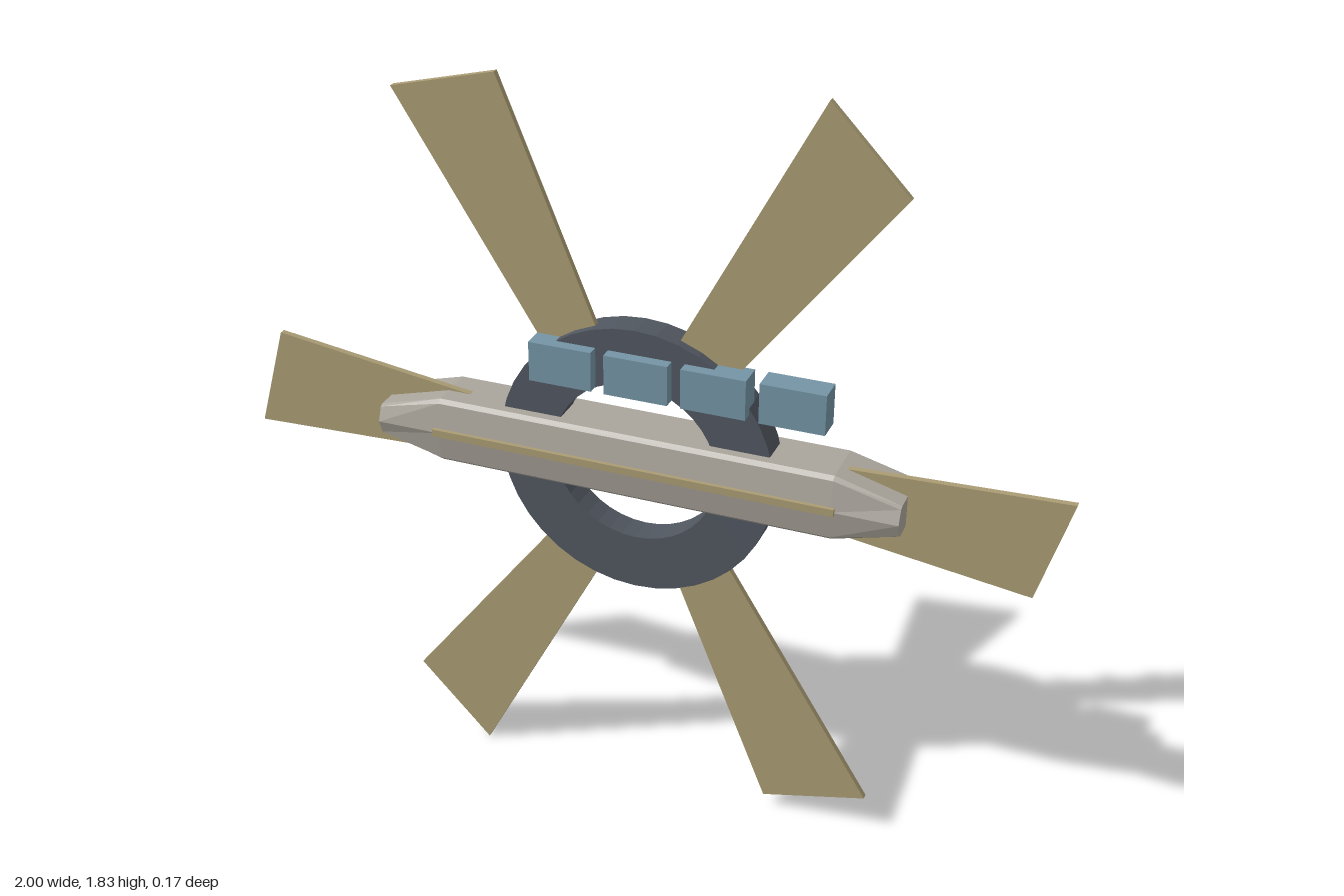
import * as THREE from 'three';

const CY = 0.916; // height of the hub centre

function material(color) {
  return new THREE.MeshStandardMaterial({ color, flatShading: true });
}

// Flat outline extruded from z0 to z1
function plate(shape, z0, z1, mat, name, curveSegments = 16) {
  const geo = new THREE.ExtrudeGeometry(shape, { depth: z1 - z0, bevelEnabled: false, curveSegments });
  geo.translate(0, 0, z0);
  const mesh = new THREE.Mesh(geo, mat);
  mesh.name = name;
  return mesh;
}

function box(w, h, d, x, y, z, mat, name) {
  const mesh = new THREE.Mesh(new THREE.BoxGeometry(w, h, d), mat);
  mesh.position.set(x, y, z);
  mesh.name = name;
  return mesh;
}

// Loft a faceted section along x, flattened in height towards both ends
function hullGeometry() {
  const half = [[0.06, 0.081], [0.07, 0.072], [0.083, 0], [0.07, -0.072], [0.06, -0.081]];
  const section = [...half, ...half.map(([z, y]) => [-z, y]).reverse()];
  const stations = [[-0.635, 0.47], [-0.48, 1], [0.48, 1], [0.635, 0.47]];
  const n = section.length;
  const pos = [];
  const index = [];
  for (const [x, s] of stations) for (const [z, y] of section) pos.push(x, y * s, z);
  for (let i = 0; i < stations.length - 1; i++) {
    for (let j = 0; j < n; j++) {
      const a = i * n + j, b = i * n + (j + 1) % n;
      index.push(a, b, a + n, b, b + n, a + n);
    }
  }
  const last = (stations.length - 1) * n;
  for (let j = 1; j < n - 1; j++) {
    index.push(0, j + 1, j);
    index.push(last, last + j, last + j + 1);
  }
  const geo = new THREE.BufferGeometry();
  geo.setAttribute('position', new THREE.Float32BufferAttribute(pos, 3));
  geo.setIndex(index);
  const flat = geo.toNonIndexed();
  flat.computeVertexNormals();
  return flat;
}

export function createModel() {
  const model = new THREE.Group();
  const hullMat = material(0xaaa59c);
  const ringMat = material(0x50565f);
  const panelMat = material(0xa99b73);
  const podMat = material(0x7494a5);
  const rodMat = material(0x1c1e20);

  // Long central hull with a stripe on its front
  const hull = new THREE.Mesh(hullGeometry(), hullMat);
  hull.position.set(0, CY + 0.003, -0.004);
  hull.name = 'hull';
  model.add(hull);
  model.add(box(0.98, 0.018, 0.02, 0, CY + 0.006, 0.077, panelMat, 'hullStripe'));

  // Ring around the hull
  const ringShape = new THREE.Shape().absarc(0, 0, 0.335, 0, Math.PI * 2, false);
  ringShape.holes.push(new THREE.Path().absarc(0, 0, 0.2, 0, Math.PI * 2, true));
  const ring = plate(ringShape, -0.036, 0.034, ringMat, 'ring', 20);
  ring.position.y = CY + 0.002;
  model.add(ring);

  // Six flared panels with bundles of thin crossing rods behind them
  const panelShape = new THREE.Shape([
    [0.27, -0.063], [0.928, -0.153], [1.0, 0.098], [0.27, 0.071],
  ].map(([x, y]) => new THREE.Vector2(x, y)));
  const tilts = [-0.035, 0.012, 0.04];
  for (let i = 0; i < 6; i++) {
    const arm = new THREE.Group();
    arm.name = 'panelArm' + (i + 1);
    arm.position.y = CY;
    arm.rotation.z = i * Math.PI / 3;
    arm.add(plate(panelShape, -0.004, 0.011, panelMat, 'panel'));
    for (const [layer, z] of [-0.018, -0.048].entries()) {
      tilts.forEach((tilt, k) => {
        const rod = box(0.53, 0.003, 0.002, 0.605, (k - 1) * 0.016 + layer * 0.006 - 0.005, z, rodMat, 'rod');
        rod.rotation.z = layer ? -tilt : tilt;
        arm.add(rod);
      });
    }
    model.add(arm);
  }

  // Row of box pods in front of the upper ring
  for (let i = 0; i < 4; i++) {
    model.add(box(0.152, 0.097, 0.062, -0.17 + i * 0.183, 1.145, 0.031, podMat, 'pod' + (i + 1)));
  }

  return model;
}
